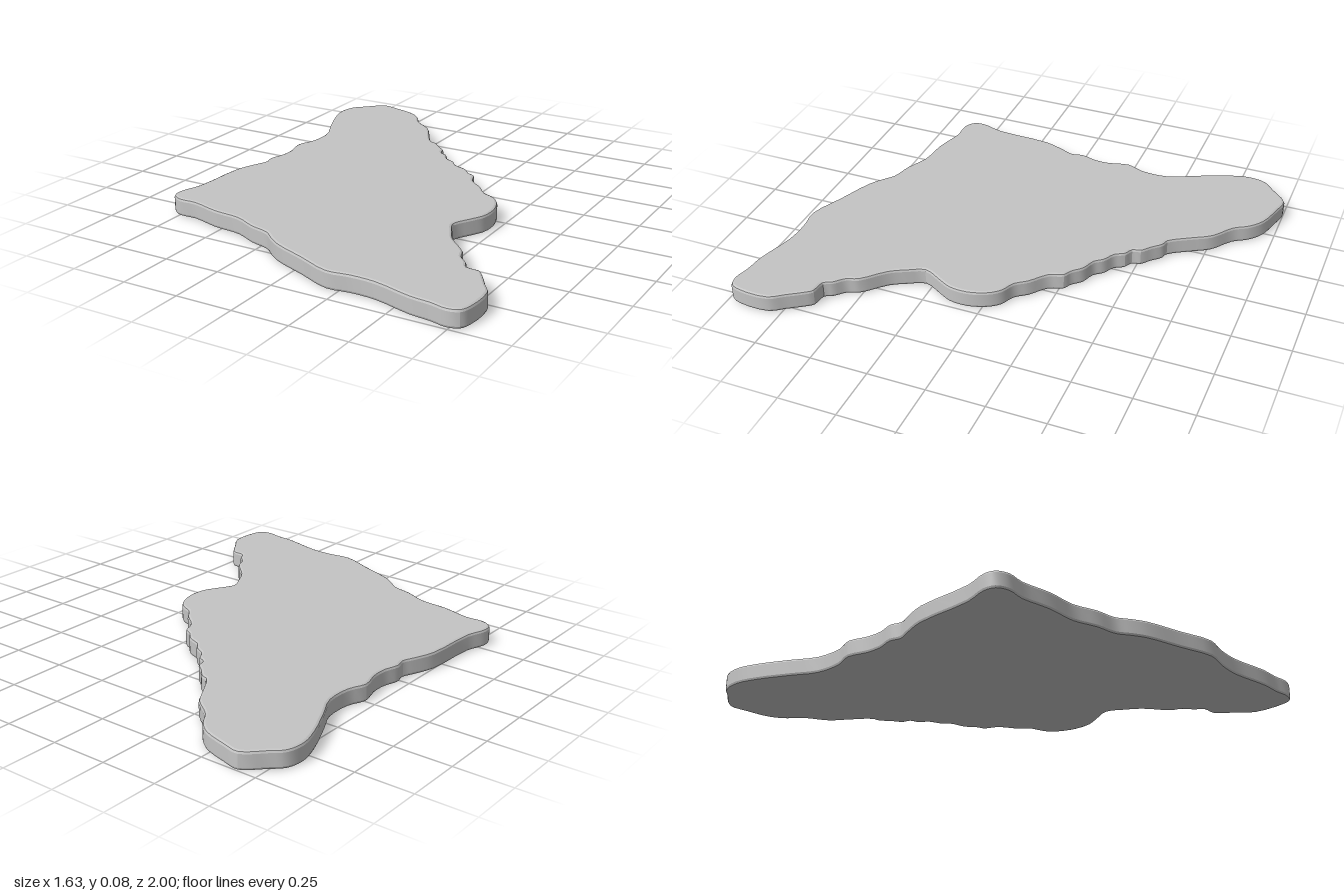
import * as THREE from 'three';
import { toCreasedNormals } from 'three/addons/utils/BufferGeometryUtils.js';

const HEIGHT = 0.08;
const BEVEL = 0.012;

// Outline as [x, z] points, running clockwise as seen from above
const backEdge = [
  [-0.67, -1], [-0.59, -0.985], [-0.48, -0.95], [-0.42, -0.9], [-0.38, -0.84], [-0.29, -0.77],
  [-0.24, -0.69], [-0.18, -0.6], [-0.15, -0.59], [-0.11, -0.55], [-0.07, -0.515], [-0.06, -0.48],
  [-0.025, -0.46], [0, -0.42], [0.05, -0.39], [0.08, -0.355], [0.14, -0.33], [0.18, -0.29],
  [0.215, -0.27], [0.24, -0.21], [0.31, -0.15], [0.35, -0.1],
];
const leftBayAndTip = [
  [0.41, -0.07], [0.45, -0.02], [0.475, 0.06], [0.47, 0.14], [0.44, 0.2], [0.4, 0.28],
  [0.43, 0.35], [0.47, 0.42], [0.56, 0.51], [0.58, 0.56], [0.62, 0.6], [0.64, 0.635],
  [0.7, 0.645], [0.73, 0.68], [0.77, 0.74], [0.81, 0.8], [0.81, 0.93], [0.79, 0.98], [0.74, 0.995],
];
const frontEdge = [
  [0.67, 0.98], [0.58, 0.97], [0.41, 0.925], [0.3, 0.92], [0.2, 0.93], [0.05, 0.87],
  [-0.1, 0.81], [-0.16, 0.77], [-0.21, 0.73], [-0.3, 0.705], [-0.4, 0.66], [-0.53, 0.645],
  [-0.66, 0.61], [-0.74, 0.61], [-0.79, 0.58], [-0.8, 0.53],
];
const rightEdge = [
  [-0.77, 0.43], [-0.755, 0.18], [-0.72, 0.08], [-0.7, 0.03], [-0.71, -0.02], [-0.69, -0.09],
  [-0.69, -0.16], [-0.71, -0.25], [-0.68, -0.33], [-0.68, -0.45], [-0.73, -0.56],
  [-0.79, -0.7], [-0.815, -0.8], [-0.8, -0.88], [-0.75, -0.93],
];

export function createModel() {
  const group = new THREE.Group();
  group.name = 'flatSlab';
  const lightGrey = new THREE.MeshStandardMaterial({ color: 0xc4c4c4 });
  lightGrey.name = 'lightGrey';

  // Smooth closed curve through the outline points
  const points = [...backEdge, ...leftBayAndTip, ...frontEdge, ...rightEdge]
    .map(([x, z]) => new THREE.Vector3(x, -z, 0));
  const curve = new THREE.CatmullRomCurve3(points, true, 'centripetal');
  const outline = curve.getPoints(points.length * 3).slice(0, -1)
    .map((p) => new THREE.Vector2(p.x, p.y));

  // Slab with softened rims, laid flat on the ground
  const geometry = new THREE.ExtrudeGeometry(new THREE.Shape(outline), {
    depth: HEIGHT - 2 * BEVEL,
    bevelEnabled: true,
    bevelThickness: BEVEL,
    bevelSize: BEVEL,
    bevelOffset: -BEVEL,
    bevelSegments: 2,
  });
  geometry.translate(0, 0, BEVEL);
  geometry.rotateX(-Math.PI / 2);

  const slab = new THREE.Mesh(toCreasedNormals(geometry, 0.38), lightGrey);
  slab.name = 'slab';
  group.add(slab);
  return group;
}
